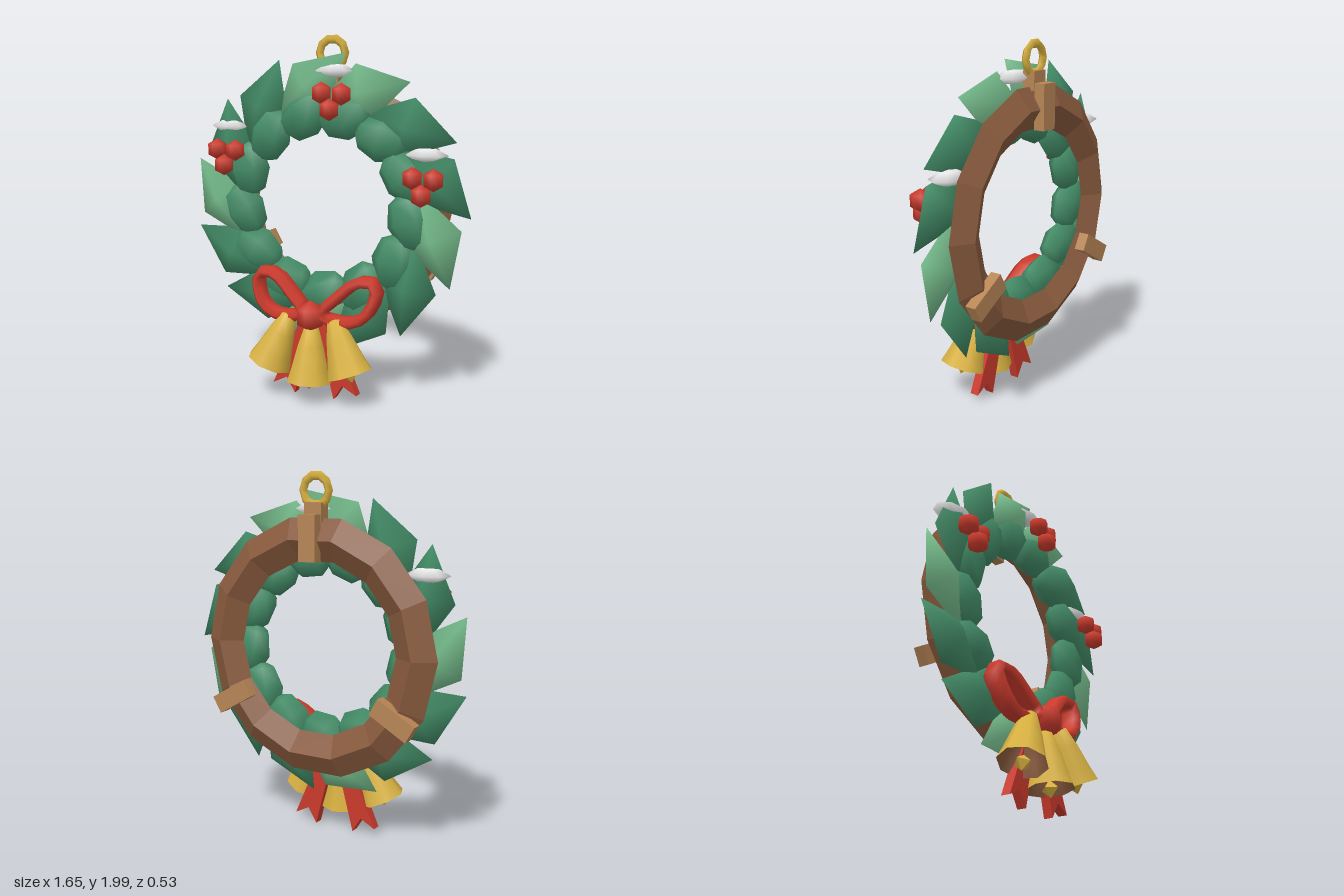
import * as THREE from 'three';

const mat = (name, color, side = THREE.FrontSide) => {
  const m = new THREE.MeshStandardMaterial({ color, side });
  m.name = name;
  return m;
};

const CX = -0.01, CY = 1.075; // wreath centre
const rad = THREE.MathUtils.degToRad;

export function createModel() {
  const model = new THREE.Group();
  model.name = 'wreath';
  const green = mat('leafGreen', 0x438c67);
  const lightGreen = mat('lightLeafGreen', 0x76bc8c);
  const red = mat('red', 0xcb3a2c);
  const gold = mat('gold', 0xd8b140);
  const brown = mat('frameBrown', 0x885a3d, THREE.DoubleSide);
  const tan = mat('clipWood', 0xb68555);
  const white = mat('snowWhite', 0xe9e9e9);

  const add = (name, geometry, material, x, y, z, parent = model) => {
    const mesh = new THREE.Mesh(geometry, material);
    mesh.name = name;
    mesh.position.set(x, y, z);
    parent.add(mesh);
    return mesh;
  };
  const flat = (g) => {
    const f = g.toNonIndexed();
    f.computeVertexNormals();
    return f;
  };
  const points = (list) => list.map(([x, y]) => new THREE.Vector2(x, y));

  // Wooden backing ring with a diamond section
  const ring = new THREE.TorusGeometry(0.587, 0.115, 4, 14);
  ring.scale(1, 1, 0.61);
  add('backingRing', flat(ring), brown, CX, CY, -0.17);

  // Clips on the back
  for (const [x, y, deg] of [[0, 1.66, 90], [-0.495, 0.77, 210], [0.495, 0.77, 330]]) {
    const clip = add('backClip', new THREE.BoxGeometry(0.24, 0.1, 0.06), tan, CX + x, y, -0.232);
    clip.rotation.z = rad(deg);
  }

  // Hanger
  add('hangerBlock', new THREE.BoxGeometry(0.1, 0.1, 0.07), tan, CX, 1.79, -0.165);
  add('hangerRing', new THREE.TorusGeometry(0.077, 0.024, 4, 10), gold, CX, 1.9, -0.165);

  // Two rings of leaves, swirling clockwise
  const outerLeaf = new THREE.SphereGeometry(1, 4, 2).scale(0.162, 0.277, 0.086);
  const innerLeaf = new THREE.SphereGeometry(1, 6, 4).scale(0.132, 0.165, 0.085);
  const count = 13;
  for (let i = 0; i < count; i++) {
    const base = 90 + (i * 360) / count;
    const a = rad(base + 7.8);
    const outer = add('outerLeaf', outerLeaf, i % 3 === 0 ? lightGreen : green,
      CX + 0.65 * Math.cos(a), CY + 0.65 * Math.sin(a), -0.065);
    outer.rotation.z = rad(base - 49 - 90);

    const b = rad(base + 180 / count);
    const inner = add('innerLeaf', innerLeaf, green,
      CX + 0.505 * Math.cos(b), CY + 0.505 * Math.sin(b), -0.062);
    inner.rotation.z = b - rad(65 + 90);
  }

  // Snow caps, lens shaped
  const snow = new THREE.LatheGeometry(
    points([[0, -0.04], [0.06, -0.032], [0.125, 0], [0.06, 0.032], [0, 0.04]]), 8);
  snow.scale(1, 1, 0.68);
  for (const [x, y] of [[0.045, 1.805], [-0.605, 1.49], [0.57, 1.375]])
    add('snowCap', snow, white, x, y, -0.075);

  // Berry clusters
  const berry = new THREE.SphereGeometry(0.06, 8, 3);
  for (const [x, y] of [[0.08, 1.66], [-0.57, 1.337], [0.595, 1.235]])
    for (const [dx, dy, z] of [[-0.055, 0.03, 0.052], [0.055, 0.025, 0.04], [0, -0.055, 0.072]])
      add('berry', berry, red, x + dx, y + dy, z);

  // Bow loops, wider in depth than in height
  const loop = [[0.05, 0.49, 0.08], [0.145, 0.595, 0.06], [0.25, 0.68, 0.04], [0.34, 0.682, 0.035],
    [0.362, 0.635, 0.04], [0.315, 0.515, 0.065], [0.24, 0.465, 0.07], [0.11, 0.465, 0.08]];
  const depth = 1.9;
  for (const s of [-1, 1]) {
    const curve = new THREE.CatmullRomCurve3(
      loop.map(([x, y, z]) => new THREE.Vector3(s * x, y, z / depth)), true);
    const tube = new THREE.TubeGeometry(curve, 14, 0.034, 6, true);
    tube.scale(1, 1, depth);
    add('bowLoop', tube, red, CX, 0, 0);
  }
  add('bowKnot', new THREE.SphereGeometry(0.088, 8, 3), red, CX, 0.482, 0.115);

  // Ribbon tails with notched ends
  for (const s of [-1, 1]) {
    const tail = new THREE.Shape(points([[0, 0.46], [0.12, 0.005], [0.172, 0.09],
      [0.258, 0.045], [0.075, 0.46]].map(([x, y]) => [s * x, y])));
    add('ribbonTail', new THREE.ExtrudeGeometry(tail, { depth: 0.052, bevelEnabled: false }),
      red, CX, 0, 0.02);
  }

  // Bells: rim centre at the group's origin
  const shell = new THREE.LatheGeometry(
    points([[0.13, 0], [0.108, 0.07], [0.075, 0.2], [0.042, 0.3], [0, 0.315]]), 8);
  const lining = new THREE.LatheGeometry(
    points([[0.13, 0], [0.1, 0.07], [0.066, 0.2], [0, 0.22]]), 8);
  for (const s of [-1, 0, 1]) {
    const bell = new THREE.Group();
    bell.name = 'bell';
    add('bellShell', shell, gold, 0, 0, 0, bell);
    add('bellLining', lining, brown, 0, 0, 0, bell);
    add('clapper', new THREE.OctahedronGeometry(0.048), gold, 0, 0.002, 0, bell);
    bell.position.set(CX + s * 0.245, s ? 0.19 : 0.115, 0.135);
    bell.rotation.set(-rad(6), 0, s * rad(21));
    model.add(bell);
  }
  return model;
}
